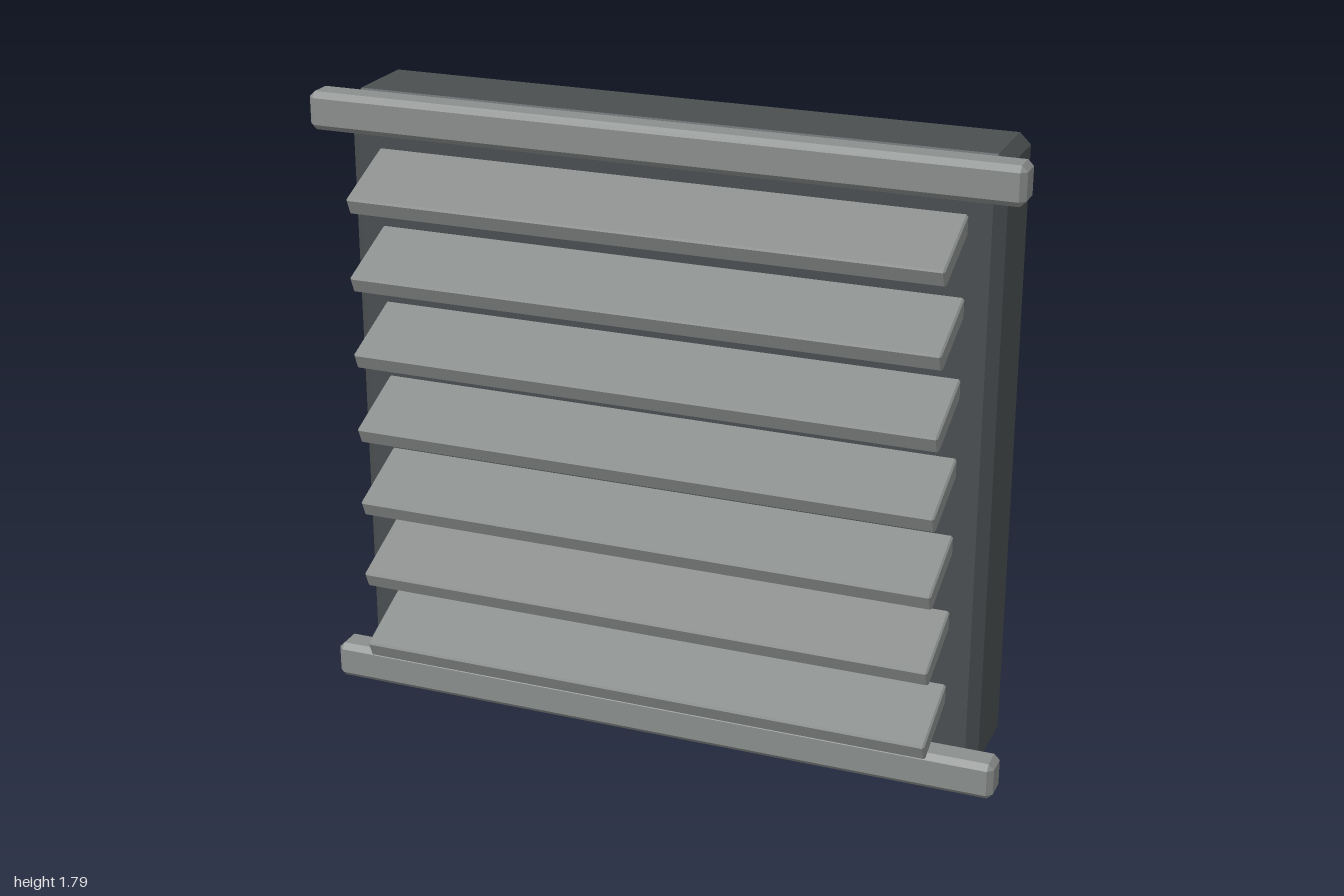
import * as THREE from 'three';
import { ConvexGeometry } from 'three/addons/geometries/ConvexGeometry.js';

// Box with all edges chamfered by c, centred on its origin
function chamferBox(w, h, d, c) {
  const half = [w / 2, h / 2, d / 2];
  const points = [];
  for (const sx of [-1, 1]) for (const sy of [-1, 1]) for (const sz of [-1, 1]) {
    // each corner becomes three points, one on each adjoining face
    for (let face = 0; face < 3; face++) {
      const p = [sx, sy, sz].map((s, i) => s * (half[i] - (i === face ? 0 : c)));
      points.push(new THREE.Vector3(...p));
    }
  }
  return new ConvexGeometry(points);
}

export function createModel() {
  const group = new THREE.Group();
  const darkMetal = new THREE.MeshStandardMaterial({ name: 'darkMetal', color: 0x4a4e50 });
  const greyMetal = new THREE.MeshStandardMaterial({ name: 'greyMetal', color: 0x8a8e8c });

  const add = (name, geometry, material, x, y, z) => {
    const mesh = new THREE.Mesh(geometry, material);
    mesh.name = name;
    mesh.position.set(x, y, z);
    group.add(mesh);
    return mesh;
  };

  // Back housing
  add('housing', chamferBox(1.856, 1.764, 0.278, 0.03), darkMetal, 0, 0.897, -0.103);

  // Rails across the bottom and top of the front
  const rail = chamferBox(2, 0.107, 0.093, 0.016);
  add('bottomRail', rail, greyMetal, 0, 0.0535, 0.083);
  add('topRail', rail, greyMetal, 0, 1.7335, 0.083);

  // Seven louvre slats, sloping down towards the front
  const tilt = 0.405, depth = 0.26;
  const slat = chamferBox(1.67, 0.053, depth, 0.005);
  for (let i = 0; i < 7; i++) {
    const y = 0.169 + i * 0.2233 + Math.sin(tilt) * depth / 2;
    const z = 0.232 - Math.cos(tilt) * depth / 2;
    add('slat' + (i + 1), slat, greyMetal, 0, y, z).rotation.x = tilt;
  }

  return group;
}
